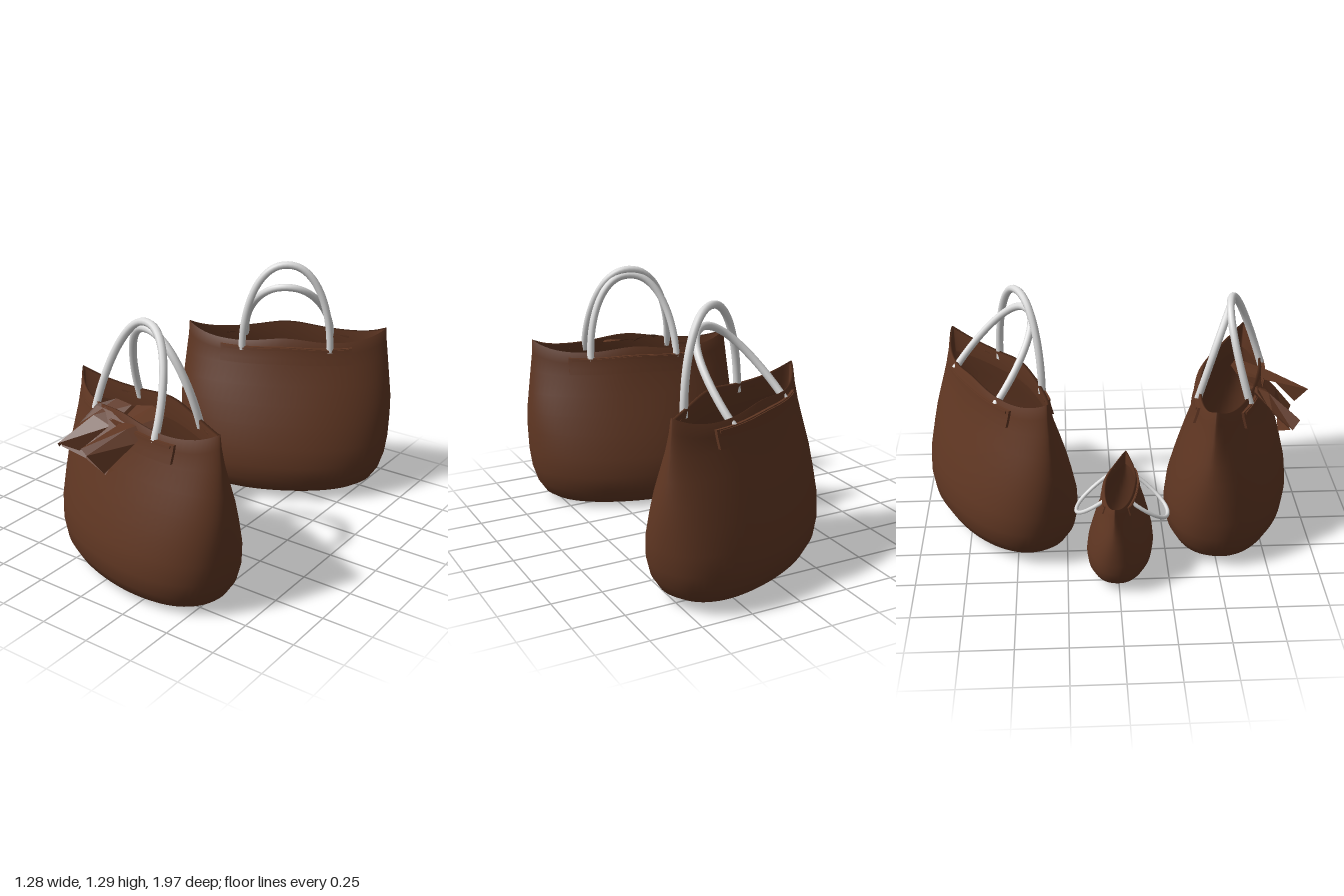
import * as THREE from 'three';

const leather = new THREE.MeshStandardMaterial({ color: 0x5f3622, side: THREE.DoubleSide });
leather.name = 'brown leather';
const pale = new THREE.MeshStandardMaterial({ color: 0xdcdcdc });
pale.name = 'pale handle';

// Bag wall cross-sections: height, half length, half depth, pinch of the ends
const SECTIONS = [
  [0.0, 0.001, 0.001, 0.9], [0.0, 0.2, 0.1, 0.9], [0.0, 0.38, 0.19, 0.9], [0.012, 0.44, 0.235, 0.9],
  [0.04, 0.485, 0.27, 0.9], [0.1, 0.525, 0.302, 0.9], [0.18, 0.55, 0.312, 0.9], [0.28, 0.563, 0.3, 0.9],
  [0.4, 0.567, 0.268, 0.95], [0.5, 0.565, 0.238, 1.0], [0.6, 0.553, 0.205, 1.1], [0.7, 0.538, 0.173, 1.3],
  [0.77, 0.526, 0.155, 1.45], [0.83, 0.522, 0.145, 1.6],
];
const LIP = [[0.825, 0.508, 0.132, 1.6], [0.72, 0.505, 0.148, 1.4]];

// Raised corners and a low wave along the mouth
function rimRise(u, y) {
  const w = THREE.MathUtils.smoothstep(y, 0.62, 0.83);
  return w * (0.06 * Math.pow(Math.abs(u) / 0.522, 6) + 0.028 * Math.exp(-((u / 0.16) ** 2)) - 0.006);
}

// Depth of the wall at a given length and height
function wallDepth(u, y) {
  let i = 1;
  while (i < SECTIONS.length - 1 && SECTIONS[i][0] < y) i++;
  const p = SECTIONS[i - 1], q = SECTIONS[i];
  const k = (y - p[0]) / (q[0] - p[0]);
  const [, a, b, e] = p.map((v, j) => THREE.MathUtils.lerp(v, q[j], k));
  return b * Math.pow(Math.max(0, 1 - (u / a) ** 2), e / 2);
}

// Builds a surface from rows of points; wrap closes each row into a ring
function loft(rows, wrap) {
  const n = rows[0].length, index = [];
  for (let r = 0; r < rows.length - 1; r++) {
    for (let c = 0; c < (wrap ? n : n - 1); c++) {
      const d = (c + 1) % n;
      const a = r * n + c, b = r * n + d, e = a + n, f = b + n;
      index.push(a, e, b, b, e, f);
    }
  }
  const geo = new THREE.BufferGeometry();
  geo.setAttribute('position', new THREE.Float32BufferAttribute(rows.flat(2), 3));
  geo.setIndex(index);
  geo.computeVertexNormals();
  return geo;
}

function bodyGeometry() {
  const N = 72;
  const power = (v, e) => Math.sign(v) * Math.pow(Math.abs(v), e);
  return loft([...SECTIONS, ...LIP].map(([y, a, b, e]) =>
    Array.from({ length: N }, (_, i) => {
      const t = (i / N) * Math.PI * 2;
      const u = a * power(Math.cos(t), 0.95);
      return [u, y + rimRise(u, y), b * power(Math.sin(t), e)];
    })), true);
}

// Sewn band wrapped on the wall below the mouth
function bandGeometry(length, height, y, thick) {
  const geo = new THREE.BoxGeometry(length, height, thick, 24, 3, 1);
  const p = geo.attributes.position;
  for (let i = 0; i < p.count; i++) {
    const u = p.getX(i), h = y + p.getY(i);
    p.setXYZ(i, u, h + 0.4 * rimRise(u, h), wallDepth(u, h) + p.getZ(i) + 0.004);
  }
  geo.computeVertexNormals();
  return geo;
}

// Arched handle rising from two feet towards an apex
function handleGeometry(apexY, apexZ) {
  const pts = [];
  for (let i = 0; i <= 16; i++) {
    const t = (i / 16) * Math.PI, s = Math.sin(t);
    pts.push(new THREE.Vector3(
      -0.23 * Math.sign(Math.cos(t)) * Math.pow(Math.abs(Math.cos(t)), 0.92),
      THREE.MathUtils.lerp(0.78, apexY, s),
      THREE.MathUtils.lerp(0.132, apexZ, s)));
  }
  return new THREE.TubeGeometry(new THREE.CatmullRomCurve3(pts), 48, 0.019, 10);
}

function add(parent, name, geo, mat) {
  const m = new THREE.Mesh(geo, mat);
  m.name = name;
  parent.add(m);
  return m;
}

const body = bodyGeometry();
const band = bandGeometry(0.69, 0.085, 0.758, 0.022);
const seam = bandGeometry(0.66, 0.012, 0.79, 0.032);

// A bag with a handle on each face; apexes are [height, depth]
function makeBag(name, frontApex, backApex) {
  const bag = new THREE.Group();
  bag.name = name;
  add(bag, 'bagBody', body, leather);
  [['front', frontApex, 0], ['back', backApex, Math.PI]].forEach(([side, apex, turn]) => {
    const face = new THREE.Group();
    face.name = side + 'Face';
    face.rotation.y = turn;
    add(face, side + 'Band', band, leather);
    add(face, side + 'Seam', seam, leather);
    add(face, side + 'Handle', handleGeometry(...apex), pale);
    bag.add(face);
  });
  return bag;
}

// Folded scarf: two ridged tails over a hanging panel
function makeScarf() {
  const scarf = new THREE.Group();
  scarf.name = 'scarf';
  const parts = {
    rightTail: [
      [[-0.13, 0.83, 0.69], [-0.06, 0.855, 0.63], [0.03, 0.845, 0.63]],
      [[-0.17, 0.75, 0.77], [-0.09, 0.81, 0.76], [0.01, 0.78, 0.76]],
      [[-0.21, 0.66, 0.87], [-0.18, 0.70, 0.91], [-0.09, 0.655, 0.84]],
    ],
    leftTail: [
      [[0.05, 0.845, 0.62], [0.13, 0.855, 0.60], [0.23, 0.845, 0.64]],
      [[0.06, 0.80, 0.78], [0.14, 0.815, 0.80], [0.19, 0.76, 0.81]],
      [[0.03, 0.76, 0.985], [0.07, 0.74, 0.995], [0.12, 0.645, 0.94]],
    ],
    panel: [
      [[-0.12, 0.83, 0.70], [0.0, 0.83, 0.72], [0.13, 0.82, 0.75]],
      [[-0.17, 0.74, 0.77], [-0.04, 0.73, 0.80], [0.13, 0.72, 0.84]],
      [[-0.205, 0.66, 0.86], [-0.06, 0.64, 0.86], [0.11, 0.628, 0.92]],
      [[-0.19, 0.65, 0.80], [-0.05, 0.635, 0.82], [0.11, 0.628, 0.86]],
    ],
  };
  for (const [name, rows] of Object.entries(parts)) {
    const geo = loft(rows, false).toNonIndexed();
    geo.computeVertexNormals();
    add(scarf, name, geo, leather);
  }
  return scarf;
}

export function createModel() {
  const model = new THREE.Group();
  model.name = 'handbagSet';

  const front = makeBag('frontBag', [1.24, -0.015], [1.21, 0.015]);
  front.position.set(0.09, 0, 0.595);
  front.rotation.y = -0.265;

  const rear = makeBag('rearBag', [1.245, 0.135], [1.14, -0.18]);
  rear.position.set(0.105, 0.025, -0.585);
  rear.rotation.y = 0.51;

  // Small bag with its handles fallen outwards
  const small = makeBag('smallBag', [0.53, 0.45], [0.53, 0.42]);
  small.position.set(-0.347, 0.03, 0.015);
  small.rotation.y = -0.15;
  small.scale.setScalar(0.52);

  model.add(front, rear, small, makeScarf());
  return model;
}
